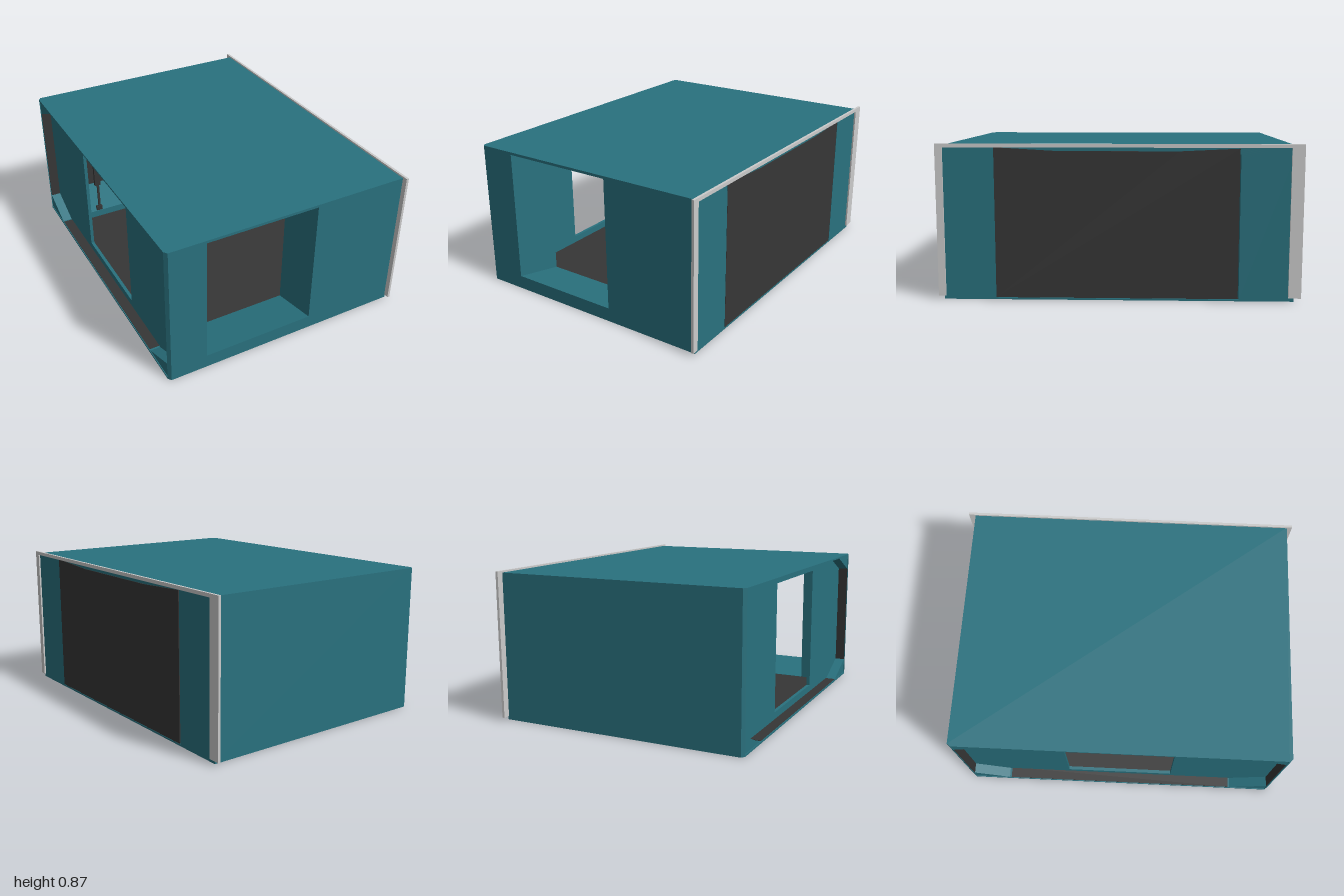
import * as THREE from 'three';

const teal = new THREE.MeshStandardMaterial({ color: 0x29717e, flatShading: true });
const dark = new THREE.MeshStandardMaterial({ color: 0x363636, flatShading: true });
const grey = new THREE.MeshStandardMaterial({ color: 0xcccccc, flatShading: true });

export function createModel() {
  const model = new THREE.Group();

  function add(name, geometry, material) {
    const mesh = new THREE.Mesh(geometry, material);
    mesh.name = name;
    model.add(mesh);
    return mesh;
  }
  // Box given by its limits on each axis
  function block(name, [x0, x1], [y0, y1], [z0, z1], material = teal) {
    const geo = new THREE.BoxGeometry(x1 - x0, y1 - y0, z1 - z0);
    geo.translate((x0 + x1) / 2, (y0 + y1) / 2, (z0 + z1) / 2);
    return add(name, geo, material);
  }
  // Prism running along x, from [z, y] points
  function prismX(name, points, x0, x1, material = teal, hole) {
    const toShape = p => p.map(([z, y]) => new THREE.Vector2(-z, y));
    const shape = new THREE.Shape(toShape(points));
    if (hole) shape.holes.push(new THREE.Path(toShape(hole)));
    const geo = new THREE.ExtrudeGeometry(shape, { depth: x1 - x0, bevelEnabled: false });
    geo.rotateY(Math.PI / 2).translate(x0, 0, 0);
    return add(name, geo, material);
  }
  // Prism running along y, from [x, z] points
  function prismY(name, points, y0, y1, material = teal) {
    const shape = new THREE.Shape(points.map(([x, z]) => new THREE.Vector2(x, -z)));
    const geo = new THREE.ExtrudeGeometry(shape, { depth: y1 - y0, bevelEnabled: false });
    geo.rotateX(-Math.PI / 2).translate(0, y0, 0);
    return add(name, geo, material);
  }

  // Roof and base slabs with clipped corners on the open side
  const plan = [[-0.74, -0.94], [-0.725, -0.96], [0.73, -0.96], [0.73, 0.97], [-0.725, 0.97], [-0.74, 0.95]];
  prismY('roof', plan, 0.845, 0.855);
  prismY('base', plan, 0, 0.01);

  // Thick front wall with a doorway and a sill that slopes down inwards
  block('frontWallLeft', [0.16, 0.73], [0.01, 0.845], [0.67, 0.97]);
  block('frontWallRight', [-0.67, -0.51], [0.01, 0.845], [0.67, 0.97]);
  prismX('frontSill', [[0.97, 0.005], [0.97, 0.08], [0.67, 0.015], [0.67, 0.005]], -0.51, 0.16);
  block('frontLintel', [-0.51, 0.16], [0.84, 0.846], [0.67, 0.97]);

  // Thick back wall with a tapered recess and dark panel
  prismX('backRecessSill', [[-0.66, 0.005], [-0.66, 0.06], [-0.91, 0.135], [-0.91, 0.005]], -0.67, 0.73);
  prismX('backRecessHead', [[-0.66, 0.846], [-0.66, 0.80], [-0.91, 0.725], [-0.91, 0.846]], -0.67, 0.73);
  block('backWall', [-0.67, 0.73], [0.01, 0.845], [-0.96, -0.92]);
  block('backPanel', [-0.65, 0.71], [0.12, 0.74], [-0.92, -0.905], dark);
  block('backWallEnd', [0.65, 0.73], [0.01, 0.845], [-0.96, -0.66]);

  // Rims around the recessed end wall
  prismY('frontRim', [[-0.67, 0.95], [-0.74, 0.95], [-0.725, 0.97], [-0.67, 0.97]], 0.01, 0.845);
  prismY('backRim', [[-0.67, -0.94], [-0.67, -0.96], [-0.725, -0.96], [-0.74, -0.94]], 0.01, 0.845);
  block('frontRimLining', [-0.735, -0.67], [0.1, 0.755], [0.946, 0.952], dark);
  block('backRimLining', [-0.735, -0.67], [0.1, 0.755], [-0.942, -0.936], dark);
  block('thresholdLining', [-0.735, -0.67], [0.008, 0.013], [-0.71, 0.71], dark);

  // Chamfered corners of the recess
  for (const side of [1, -1]) {
    const outer = side > 0 ? 0.95 : -0.94, inner = side * 0.71;
    prismX('lowerCorner', [[outer, 0.005], [outer, 0.105], [inner, 0.005]], -0.735, -0.67);
    prismX('upperCorner', [[outer, 0.85], [outer, 0.75], [inner, 0.85]], -0.735, -0.67);
  }

  // Recessed end wall with its doorway
  prismX('endWall', [[-0.94, 0.005], [0.95, 0.005], [0.95, 0.85], [-0.94, 0.85]], -0.675, -0.655, teal,
    [[-0.33, 0.055], [-0.33, 0.8], [0.33, 0.8], [0.33, 0.055]]);

  // Interior floor and closed end panel
  block('floor', [-0.655, 0.72], [0.008, 0.014], [-0.66, 0.67], dark);
  block('endPanelLip', [0.70, 0.726], [0.81, 0.846], [-0.66, 0.68]);
  prismX('endPanel', [[-0.655, 0.012], [0.68, 0.012], [0.68, 0.845], [0.33, 0.825], [-0.33, 0.825], [-0.655, 0.84]],
    0.712, 0.731, dark);

  // Narrow hinge strips beside the doorway
  block('hingeRod', [-0.495, -0.48], [0.08, 0.8], [-0.65, -0.64], dark);
  for (const [y0, y1] of [[0.08, 0.11], [0.28, 0.43], [0.58, 0.73]]) {
    block('hingeKnuckle', [-0.51, -0.47], [y0, y1], [-0.655, -0.635], dark);
  }

  // Flange around the closed end, open at the bottom
  prismX('flange', [[1, 0.02], [1, 0.865], [-1, 0.865], [-1, 0.02], [-0.93, 0.02], [-0.93, 0.845], [0.96, 0.845], [0.96, 0.02]],
    0.725, 0.74, grey);

  return model;
}
